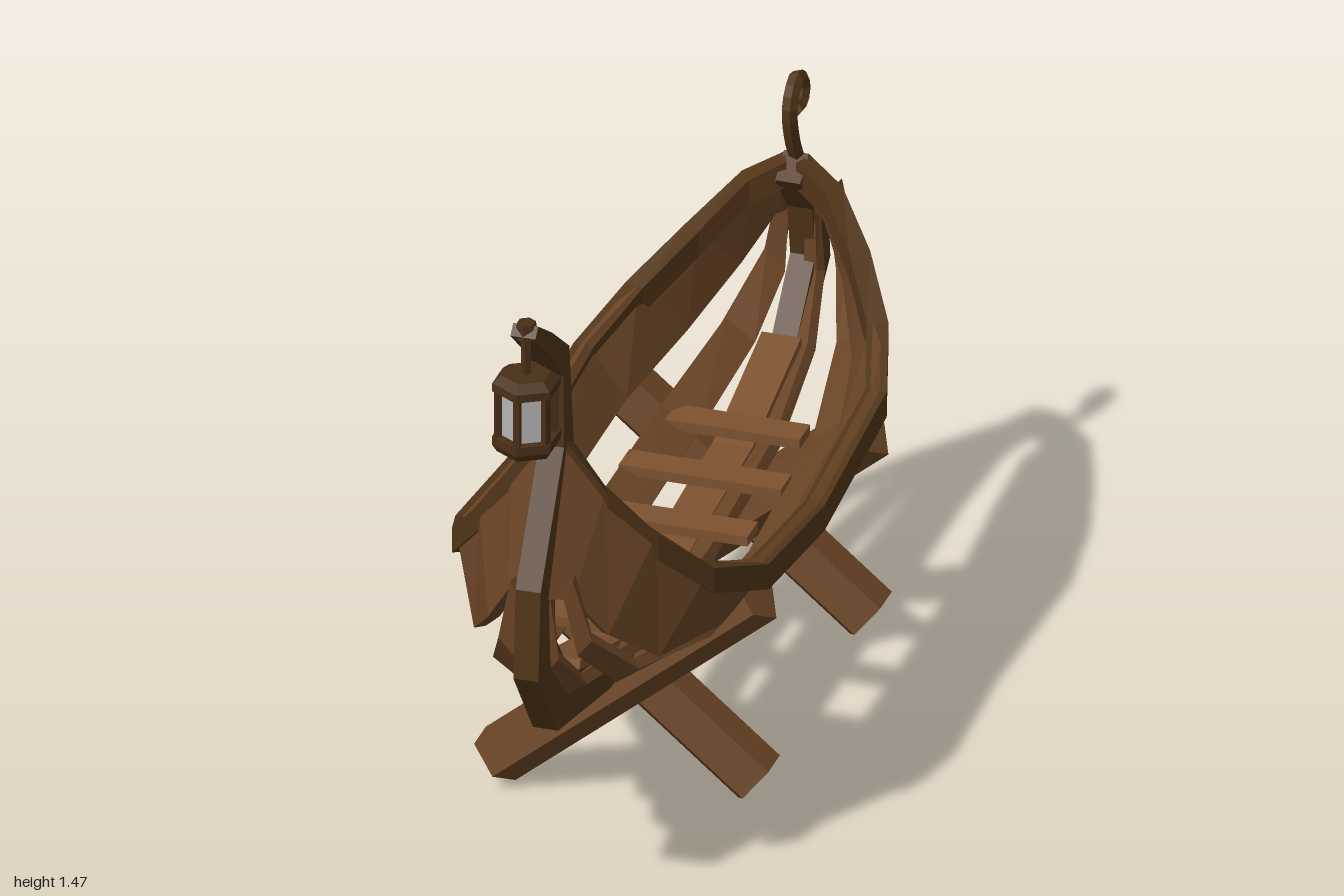
import * as THREE from 'three';

const mat = (color) => new THREE.MeshStandardMaterial({ color, flatShading: true, side: THREE.DoubleSide });
const V = (p) => new THREE.Vector3(...p);

// Plank lofted between an upper and a lower edge (bow to stern), thickened inwards
function strakeGeometry(top, bottom, thick, side) {
  const n = top.length;
  const rings = top.map((t, i) => {
    const T = V(t), B = V(bottom[i]);
    const a = Math.max(i - 1, 0), b = Math.min(i + 1, n - 1);
    const along = V(top[b]).add(V(bottom[b])).sub(V(top[a])).sub(V(bottom[a]));
    const inward = B.clone().sub(T).cross(along).normalize().multiplyScalar(-thick);
    return [T, B, B.clone().add(inward), T.clone().add(inward)];
  });
  const pos = [];
  const quad = (a, b, c, d) => {
    const order = side > 0 ? [a, b, c, a, c, d] : [a, c, b, a, d, c];
    order.forEach((p) => pos.push(p.x * side, p.y, p.z));
  };
  for (let i = 0; i < n - 1; i++) {
    for (let j = 0; j < 4; j++) {
      const k = (j + 1) % 4;
      quad(rings[i][j], rings[i][k], rings[i + 1][k], rings[i + 1][j]);
    }
  }
  const [s, e] = [rings[0], rings[n - 1]];
  quad(s[3], s[2], s[1], s[0]);
  quad(e[0], e[1], e[2], e[3]);
  const g = new THREE.BufferGeometry();
  g.setAttribute('position', new THREE.Float32BufferAttribute(pos, 3));
  g.computeVertexNormals();
  return g;
}

export function createModel() {
  const model = new THREE.Group();
  const wood = mat(0x6b4526), dark = mat(0x513519), light = mat(0x7d5230);
  const iron = mat(0x4a2f18), glass = mat(0xb4b4b4);
  const add = (name, geo, material, parent = model) => {
    const m = new THREE.Mesh(geo, material);
    m.name = name;
    parent.add(m);
    return m;
  };

  // Keel with stem, curved neck and stern post, drawn as (z, y)
  const keel = new THREE.Shape([
    [0.95, 1.44], [0.85, 1.35], [0.765, 1.26], [0.76, 1.09], [0.915, 0.83], [0.93, 0.63],
    [0.8, 0.45], [0.45, 0.37], [0, 0.36], [-0.45, 0.37], [-0.8, 0.45], [-1, 0.63],
    [-0.98, 0.83], [-0.86, 0.94], [-0.8, 0.9], [-0.88, 0.8], [-0.9, 0.68], [-0.78, 0.55],
    [-0.44, 0.46], [0, 0.43], [0.43, 0.46], [0.73, 0.56], [0.82, 0.68], [0.82, 0.8],
    [0.69, 1.03], [0.725, 1.31], [0.84, 1.4], [0.93, 1.46],
  ].map(([z, y]) => new THREE.Vector2(z, y)));
  const keelGeo = new THREE.ExtrudeGeometry(keel, { depth: 0.054, bevelEnabled: false });
  keelGeo.translate(0, 0, -0.027).rotateY(-Math.PI / 2);
  add('keel', keelGeo, dark);

  // Inner keel plank, wider than the keel amidships
  const floorPath = [[0.7, 0.555], [0.43, 0.465], [0, 0.435], [-0.44, 0.465], [-0.76, 0.555]];
  for (let i = 0; i < floorPath.length - 1; i++) {
    const [z0, y0] = floorPath[i], [z1, y1] = floorPath[i + 1];
    const board = add('keelBoard', new THREE.BoxGeometry(0.085, 0.02, Math.hypot(z1 - z0, y1 - y0) + 0.005), light);
    board.position.set(0, (y0 + y1) / 2, (z0 + z1) / 2);
    board.rotation.x = Math.atan2(y1 - y0, z0 - z1);
  }

  // Upper side planks and their rims
  const top = [
    [0.02, 1.09, 0.745], [0.1, 0.97, 0.72], [0.19, 0.855, 0.655], [0.275, 0.74, 0.55],
    [0.33, 0.66, 0.36], [0.333, 0.612, 0], [0.33, 0.66, -0.42], [0.275, 0.72, -0.6],
    [0.19, 0.8, -0.74], [0.1, 0.89, -0.83], [0.02, 0.93, -0.865],
  ];
  const low = [
    [0.02, 0.79, 0.87], [0.07, 0.78, 0.83], [0.13, 0.68, 0.78], [0.2, 0.58, 0.66],
    [0.25, 0.53, 0.4], [0.26, 0.505, 0], [0.25, 0.53, -0.44], [0.2, 0.58, -0.69],
    [0.13, 0.68, -0.84], [0.07, 0.78, -0.9], [0.02, 0.8, -0.93],
  ];
  const rimTop = top.map(([x, y, z]) => [x + 0.008, y + 0.004, z]);
  const rimLow = top.map(([x, y, z]) => [x + 0.008, y - 0.055, z]);
  for (const side of [1, -1]) {
    add('sidePlank', strakeGeometry(top, low, 0.025, side), wood);
    add('rim', strakeGeometry(rimTop, rimLow, 0.045, side), dark);
  }

  // Lower planks: width factor, rise and z at each station
  const stations = [
    [0.3, 0.34, 0.86], [0.45, 0.2, 0.85], [0.7, 0.09, 0.74], [0.93, 0.025, 0.45], [1, 0, 0],
    [0.93, 0.025, -0.47], [0.7, 0.09, -0.77], [0.45, 0.2, -0.91], [0.3, 0.36, -0.92],
  ];
  const lowerPlanks = [
    [1, 0.26, 0.5, 0.19, 0.46],
    [1, 0.1, 0.445, 0.035, 0.41],
    [-1, 0.19, 0.475, 0.1, 0.43],
  ];
  for (const [side, xt, yt, xb, yb] of lowerPlanks) {
    const edge = (x, y) => stations.map(([k, rise, z]) => [x * k, y + rise, z]);
    add('lowerPlank', strakeGeometry(edge(xt, yt), edge(xb, yb), 0.025, side), wood);
  }

  // Cross boards on the floor
  for (const [z, half] of [[-0.47, 0.145], [-0.255, 0.175], [-0.04, 0.173], [0.19, 0.173], [0.405, 0.135]]) {
    add('crossBoard', new THREE.BoxGeometry(half * 2, 0.022, 0.07), light).position.set(0, 0.5, z);
  }

  // Stern curl
  const curl = new THREE.CatmullRomCurve3([
    [-0.87, 0.92], [-0.83, 0.99], [-0.815, 1.07], [-0.855, 1.112], [-0.9, 1.085], [-0.885, 1.045], [-0.85, 1.045],
  ].map(([z, y]) => new THREE.Vector3(0, y, z)));
  add('sternCurl', new THREE.TubeGeometry(curl, 16, 0.017, 5), dark);

  // Two crossed stands of five-sided beams
  for (const z of [0.235, -0.505]) {
    const stand = new THREE.Group();
    stand.name = 'stand';
    model.add(stand);
    for (const [lean, x, dz] of [[1, -0.01, 0], [-1, -0.03, -0.07]]) {
      const geo = new THREE.CylinderGeometry(0.066, 0.066, 0.735, 5);
      // Ridge of the beam points downwards, flat face upwards
      geo.rotateY(lean * Math.PI / 2).rotateZ(-lean * THREE.MathUtils.degToRad(50));
      add('standBeam', geo, wood, stand).position.set(x, 0.284, z + dz);
    }
  }

  // Hexagonal hanging lantern
  const lantern = new THREE.Group();
  lantern.name = 'lantern';
  lantern.position.set(0, 0, 0.926);
  model.add(lantern);
  const drum = (name, r1, r2, h, y, m, sides = 6) =>
    add(name, new THREE.CylinderGeometry(r1, r2, h, sides), m, lantern).position.set(0, y, 0);
  drum('lanternBase', 0.072, 0.062, 0.016, 1.178, iron);
  drum('lanternBaseRing', 0.072, 0.072, 0.02, 1.196, iron);
  drum('lanternGlass', 0.052, 0.052, 0.12, 1.262, glass);
  drum('lanternTopRing', 0.072, 0.072, 0.018, 1.32, iron);
  drum('lanternRoof', 0.052, 0.072, 0.017, 1.337, iron);
  drum('lanternRod', 0.011, 0.011, 0.1, 1.39, iron, 5);
  drum('lanternHook', 0.02, 0.025, 0.035, 1.447, iron, 6);
  for (let i = 0; i < 6; i++) {
    const a = i * Math.PI / 3;
    const post = add('lanternPost', new THREE.BoxGeometry(0.014, 0.115, 0.014), iron, lantern);
    post.position.set(Math.sin(a) * 0.06, 1.26, Math.cos(a) * 0.06);
    post.rotation.y = a;
  }
  return model;
}
